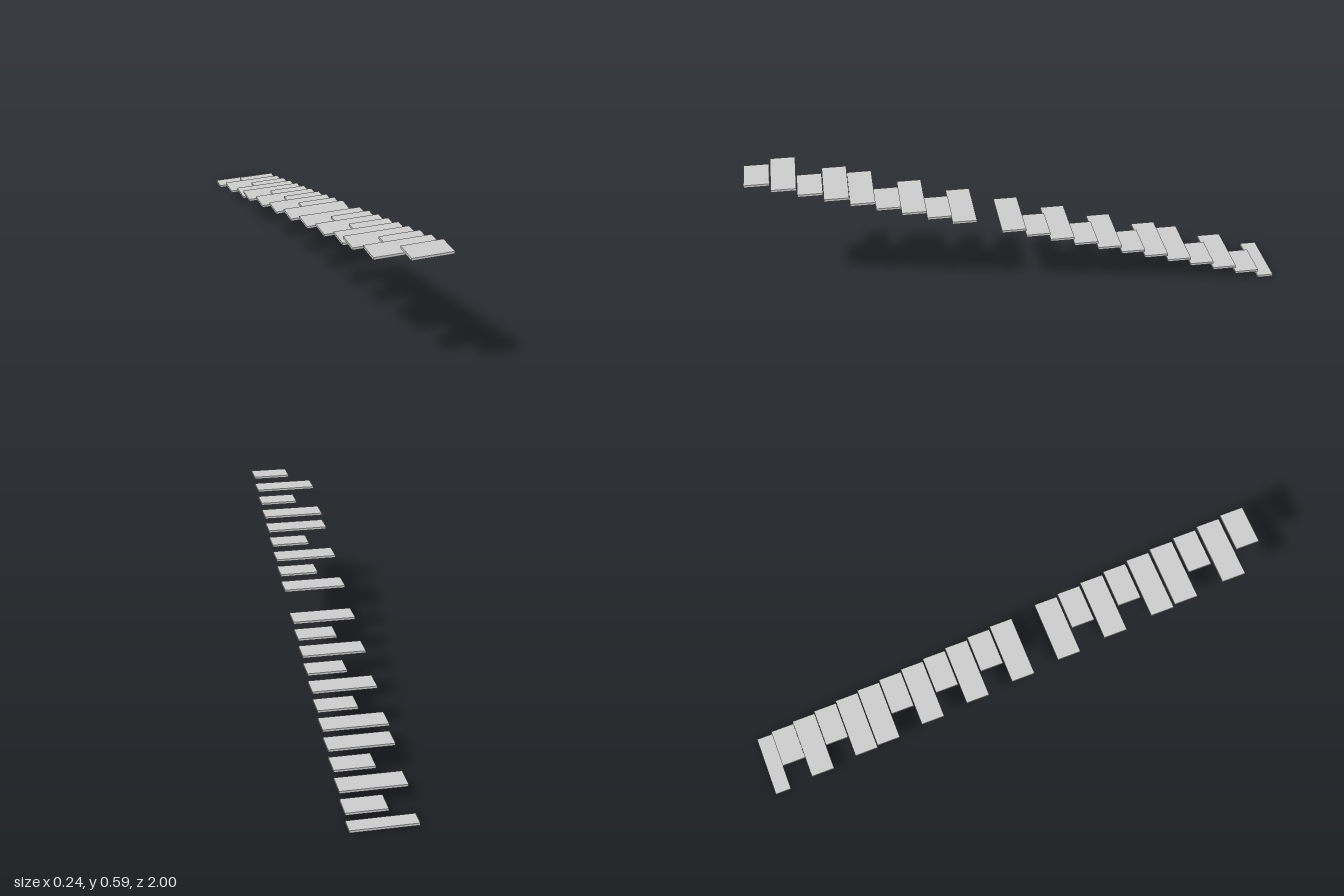
import * as THREE from 'three';

// Floating stair treads, climbing from the back (-z) to the front (+z)
export function createModel() {
  const group = new THREE.Group();
  group.name = 'floatingStair';
  const material = new THREE.MeshStandardMaterial({ color: 0xcccccc, flatShading: true });

  // One letter per step from the bottom: W wide, N narrow, - left out
  const pattern = 'WNWNWWNWNWNW-WNWNWWNWN';
  const thickness = 0.009, depth = 0.091;
  const rise = 0.0277, run = 0.0923;
  const right = 0.119, wideLeft = -0.119, narrowLeft = -0.0285;

  [...pattern].forEach((kind, i) => {
    if (kind === '-') return;
    const left = kind === 'W' ? wideLeft : narrowLeft;
    const front = 1 - (pattern.length - 1 - i) * run;
    const back = Math.max(-1, front - depth); // bottom tread is cut short
    const tread = new THREE.Mesh(
      new THREE.BoxGeometry(right - left, thickness, front - back), material);
    tread.position.set((left + right) / 2, thickness / 2 + i * rise, (front + back) / 2);
    tread.name = kind === 'W' ? 'wideTread' : 'narrowTread';
    group.add(tread);
  });
  return group;
}
